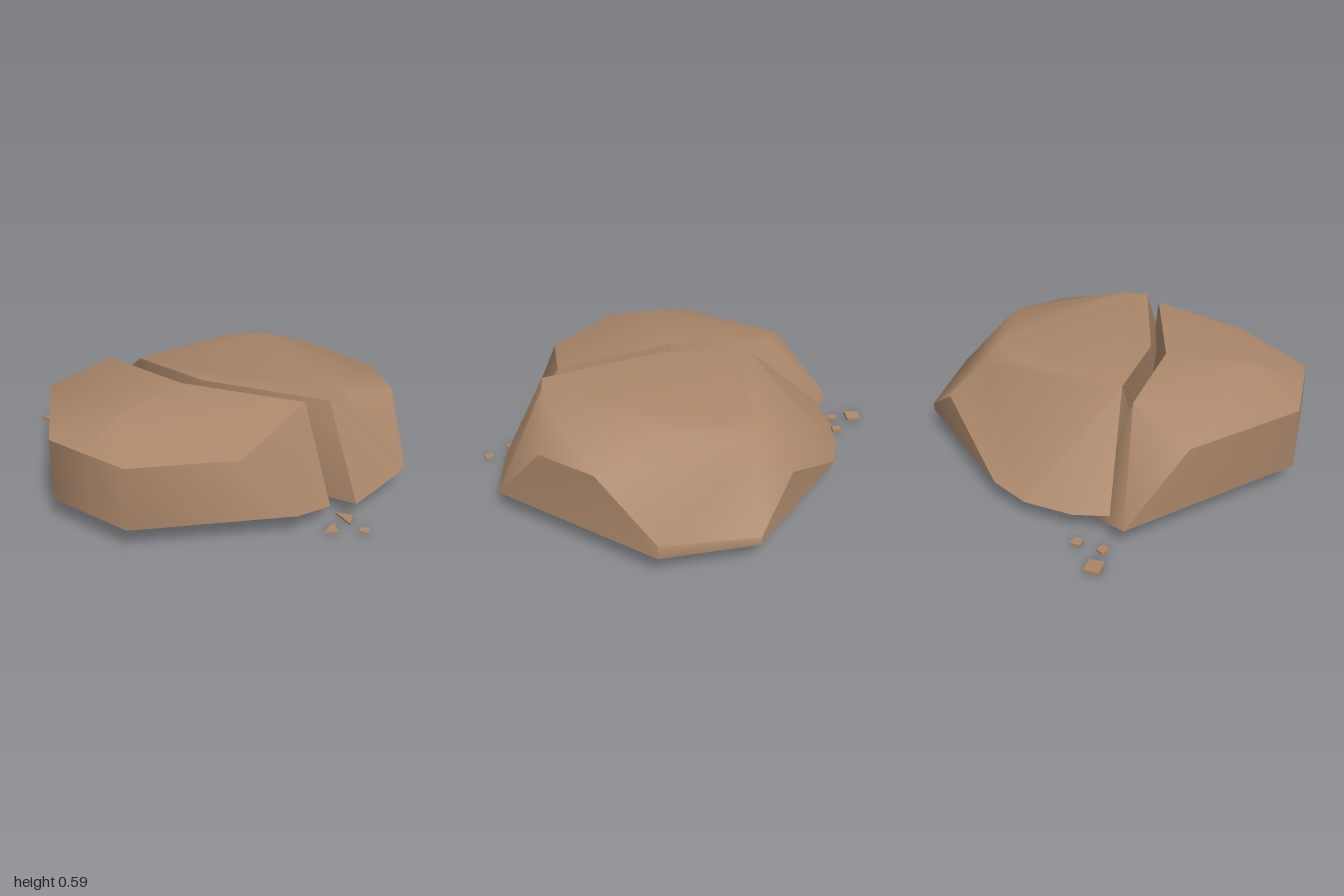
import * as THREE from 'three';
import { toCreasedNormals } from 'three/addons/utils/BufferGeometryUtils.js';
import { ConvexGeometry } from 'three/addons/geometries/ConvexGeometry.js';

const rock = new THREE.MeshStandardMaterial({ color: 0xab876a });
rock.name = 'brownRock';

// Convex chunk from its corner points, soft across shallow edges
function chunk(name, corners) {
  const hull = new ConvexGeometry(corners.map((c) => new THREE.Vector3(...c)));
  const mesh = new THREE.Mesh(toCreasedNormals(hull, 0.85), rock);
  mesh.name = name;
  return mesh;
}

// Flat square chip lying on the ground
function squareChip(x, z, size, height, turn, tilt = 0) {
  const mesh = new THREE.Mesh(new THREE.BoxGeometry(size, height, size), rock);
  mesh.name = 'squareChip';
  mesh.position.set(x, 0.018, z);
  mesh.rotation.set(0, turn, tilt);
  return mesh;
}

// Flat triangular chip from three ground points
function triangleChip(points) {
  const mesh = chunk('triangleChip', points.flatMap(([x, z]) => [[x, 0.01, z], [x, 0.022, z]]));
  return mesh;
}

export function createModel() {
  const model = new THREE.Group();
  model.name = 'crackedBoulder';
  const top = 0.59, base = 0.02, high = 0.475, low = 0.135;

  // Smaller half, split where its inner wall bends inward
  const small = new THREE.Group();
  small.name = 'smallHalf';
  const bend = [
    [-0.2, top, 0.16], [-0.16, base, 0.1],
    [-0.56, top, 0.51], [-0.56, base, 0.51],
    [-0.735, high, 0.69], [-0.735, low, 0.69],
  ];
  small.add(
    chunk('smallHalfBack', [
      ...bend,
      [-0.91, high, 0.51], [-0.91, low, 0.51],
      [-0.91, high, -0.18], [-0.91, low, -0.55],
      [-0.56, top, -0.28], [-0.59, base, -0.55],
    ]),
    chunk('smallHalfFront', [
      ...bend,
      [-0.56, high, 0.87], [-0.56, low, 0.87],
      [0, high, 0.87], [0.29, low, 0.87],
      [0.4, top, 0.51], [0.5, base, 0.51], [0.5, 0.09, 0.73],
    ]),
  );

  // Larger half, with a low wedge beside the back end of the crack
  const large = new THREE.Group();
  large.name = 'largeHalf';
  const seam = [[-0.39, top, -0.24], [-0.47, base, -0.55], [-0.42, 0.11, -0.84]];
  large.add(
    chunk('largeHalfBody', [
      ...seam,
      // flat top
      [-0.08, top, 0.14], [0.53, top, 0.51], [0.62, top, 0.44], [0.64, top, 0.42],
      [0.64, top, -0.353], [0.418, top, -0.55], [0.16, top, -0.55],
      // back slopes
      [0.32, 0.532, -0.72], [0.33, 0.38, -0.91], [-0.22, low, -0.91],
      [0.64, 0.18, -0.91], [0.64, low, -0.91],
      // outer side
      [1, high, 0.15], [1, high, -0.19], [1, 0.21, -0.55], [1, low, -0.55], [1, low, 0.45],
      // front corner
      [0.95, 0.12, 0.5], [0.64, 0.09, 0.73],
      // flat underside
      [0.64, base, 0.51], [0.64, base, -0.55], [-0.04, base, 0.08],
    ]),
    chunk('largeHalfWedge', [...seam, [-0.65, 0.12, -0.69], [-0.78, 0.14, -0.55]]),
  );

  // Loose chips at both ends of the crack
  const chips = new THREE.Group();
  chips.name = 'chips';
  chips.add(
    squareChip(-0.94, -0.73, 0.082, 0.02, 0.68, -0.08),
    squareChip(-0.853, -0.632, 0.05, 0.014, 0.1, -0.06),
    squareChip(-0.737, -0.712, 0.052, 0.018, 0.6),
    squareChip(0.643, 0.873, 0.047, 0.012, -0.45, -0.1),
    triangleChip([[0.43, 0.865], [0.51, 0.775], [0.51, 0.865]]),
    triangleChip([[0.545, 0.685], [0.63, 0.725], [0.59, 0.805]]),
  );

  model.add(small, large, chips);
  return model;
}
